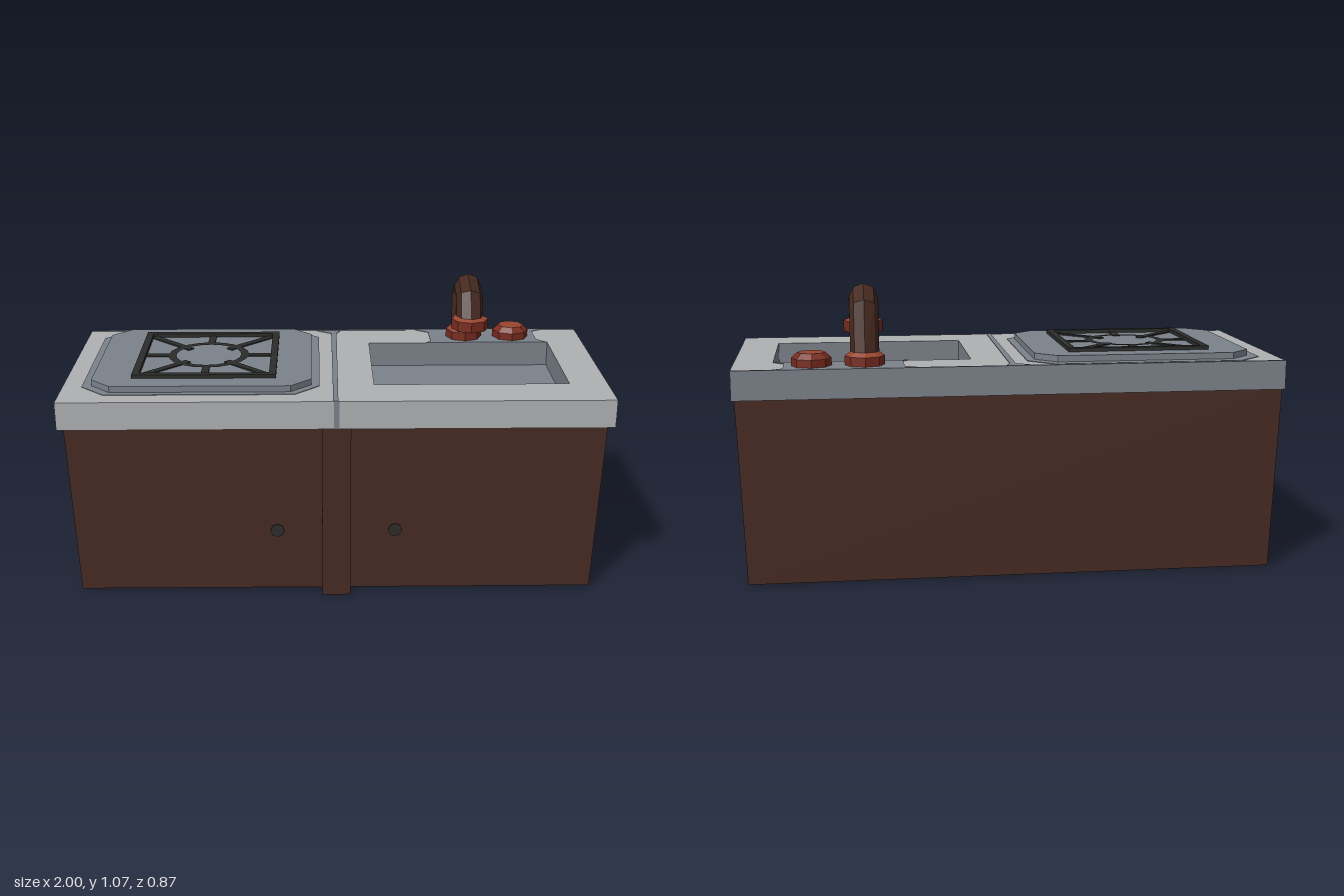
import * as THREE from 'three';

const mat = (name, color) => {
  const m = new THREE.MeshStandardMaterial({ color, flatShading: true });
  m.name = name;
  return m;
};

export function createModel() {
  const wood = mat('brown wood', 0x482b22);
  const stone = mat('light grey stone', 0xafb0b3);
  const slate = mat('slate grey', 0x7c828b);
  const iron = mat('black iron', 0x2c2d2b);
  const pipeBrown = mat('pipe brown', 0x45291f);
  const rust = mat('rust orange', 0x98452e);
  const darkRust = mat('dark rust', 0x782c1f);

  const model = new THREE.Group();
  model.name = 'kitchenCounter';
  const add = (name, geo, material, parent = model) => {
    const mesh = new THREE.Mesh(geo, material);
    mesh.name = name;
    parent.add(mesh);
    return mesh;
  };
  // Box given by its limits on each axis
  const box = (name, x0, x1, y0, y1, z0, z1, material, parent) => {
    const g = new THREE.BoxGeometry(x1 - x0, y1 - y0, z1 - z0);
    g.translate((x0 + x1) / 2, (y0 + y1) / 2, (z0 + z1) / 2);
    return add(name, g, material, parent);
  };
  // Plan outline (x, z) raised from y0 to y1, with an optional hole
  const slab = (name, outline, hole, y0, y1, material, parent) => {
    const pts = (l) => l.map(([x, z]) => new THREE.Vector2(x, -z));
    const shape = new THREE.Shape(pts(outline));
    if (hole) shape.holes.push(new THREE.Path(pts(hole)));
    const g = new THREE.ExtrudeGeometry(shape, { depth: y1 - y0, bevelEnabled: false });
    g.rotateX(-Math.PI / 2);
    g.translate(0, y0, 0);
    return add(name, g, material, parent);
  };
  const rect = (x0, x1, z0, z1) => [[x0, z1], [x1, z1], [x1, z0], [x0, z0]];
  const cutRect = (x0, x1, z0, z1, c) => [
    [x0 + c, z1], [x1 - c, z1], [x1, z1 - c], [x1, z0 + c],
    [x1 - c, z0], [x0 + c, z0], [x0, z0 + c], [x0, z1 - c],
  ];

  // Cabinet body, tapering towards the floor
  const body = new THREE.BoxGeometry(2, 0.68, 2);
  const p = body.attributes.position;
  for (let i = 0; i < p.count; i++) {
    const top = p.getY(i) > 0;
    const front = p.getZ(i) > 0;
    p.setX(i, Math.sign(p.getX(i)) * (top ? 0.99 : 0.965));
    p.setZ(i, front ? (top ? 0.36 : 0.35) : (top ? -0.43 : -0.415));
  }
  body.translate(0, 0.343, 0);
  add('cabinet', body, wood);

  // Centre post with a sloped front
  const post = new THREE.Shape([[0.3, 0], [0.405, 0], [0.425, 0.68], [0.3, 0.68]]
    .map(([z, y]) => new THREE.Vector2(z, y)));
  const postGeo = new THREE.ExtrudeGeometry(post, { depth: 0.105, bevelEnabled: false });
  postGeo.rotateY(-Math.PI / 2);
  postGeo.translate(0.0525, 0, 0);
  add('centrePost', postGeo, wood);

  // Door knobs
  for (const x of [-0.22, 0.22]) {
    const knob = add('doorKnob', new THREE.CylinderGeometry(0.026, 0.026, 0.008, 8), iron);
    knob.rotation.x = Math.PI / 2;
    knob.position.set(x, 0.245, 0.355);
  }

  // Worktop with sink opening; slate edges and stone front
  slab('worktop', rect(-1, 1, -0.435, 0.426), rect(0.14, 0.86, -0.25, 0.25), 0.68, 0.785, [stone, slate]);
  box('worktopFront', -1, 1, 0.68, 0.785, 0.426, 0.43, stone);
  box('endTopTrim', 0.998, 1.001, 0.76, 0.785, -0.4, 0.43, stone);
  box('endFrontTrim', 0.998, 1.001, 0.70, 0.785, 0.395, 0.43, stone);
  box('frontSeam', -0.01, 0.01, 0.685, 0.786, 0.428, 0.432, slate);
  box('sinkFloor', 0.14, 0.86, 0.684, 0.69, -0.25, 0.25, slate);
  for (const [x, z, r] of [[0.72, 0.1, 0.017], [0.78, 0.1, 0.023], [0.777, 0.17, 0.015]]) {
    add('drainHole', new THREE.CylinderGeometry(r, r, 0.004, 8), iron).position.set(x, 0.691, z);
  }

  // Worn slate patches on the worktop
  slab('stoveSurround', cutRect(-0.93, -0.06, -0.415, 0.355, 0.09), null, 0.784, 0.787, slate);
  slab('sinkBackPatch', [[0.37, -0.25], [0.86, -0.25], [0.82, -0.29], [0.82, -0.4],
    [0.86, -0.425], [0.34, -0.425], [0.39, -0.39], [0.39, -0.27]], null, 0.784, 0.787, slate);
  slab('topSeam', [[-0.012, 0.43], [0.006, 0.43], [0.012, -0.38], [0.03, -0.42],
    [-0.07, -0.42], [-0.01, -0.38]], null, 0.784, 0.787, slate);
  box('backEdgeStrip', -1, 1, 0.784, 0.787, -0.435, -0.424, slate);

  // Stove plate and iron grate
  const stove = new THREE.Group();
  stove.name = 'stove';
  model.add(stove);
  slab('stovePlate', cutRect(-0.895, -0.09, -0.37, 0.33, 0.075), null, 0.785, 0.81, slate, stove);
  slab('grateFrame', rect(-0.75, -0.22, -0.285, 0.245), rect(-0.724, -0.246, -0.259, 0.219), 0.81, 0.824, iron, stove);
  const grate = new THREE.Group();
  grate.name = 'grate';
  grate.position.set(-0.485, 0.812, -0.02);
  stove.add(grate);
  const ring = add('grateRing', new THREE.RingGeometry(0.125, 0.155, 20), iron, grate);
  ring.rotation.x = -Math.PI / 2;
  ring.position.y = 0.003;
  for (let i = 0; i < 8; i++) {
    const diagonal = i % 2 === 1;
    const inner = diagonal ? 0.105 : 0.14;
    const outer = diagonal ? 0.338 : 0.24;
    const arm = new THREE.Group();
    arm.name = 'grateArm';
    arm.rotation.y = i * Math.PI / 4;
    grate.add(arm);
    box('grateBar', inner, outer, -0.002, 0.003, -0.014, 0.014, iron, arm);
  }

  // Octagonal collar with a bevelled top
  const collar = (name, x, y, z, h, bevel, topMat, bevelMat) => {
    const g = new THREE.Group();
    g.name = name;
    g.position.set(x, y, z);
    model.add(g);
    const lathe = (part, pts, m) =>
      add(part, new THREE.LatheGeometry(pts.map(([r, v]) => new THREE.Vector2(r, v)), 8), m, g);
    lathe('collarSide', [[0, 0], [0.072, 0], [0.072, h - bevel]], darkRust);
    lathe('collarBevel', [[0.072, h - bevel], [0.05, h]], bevelMat);
    lathe('collarTop', [[0.05, h], [0, h]], topMat);
  };
  collar('tapBase', 0.53, 0.785, -0.338, 0.05, 0.015, rust, rust);
  collar('tapNozzle', 0.53, 0.882, -0.137, 0.05, 0.01, rust, rust);
  collar('tapButton', 0.72, 0.785, -0.338, 0.05, 0.02, rust, darkRust);

  // Bent tap pipe: outer (z, y) and inner (z, y) points of each octagonal section
  const sections = [
    [-0.39, 0.82, -0.285, 0.82], [-0.355, 1.02, -0.29, 0.945], [-0.255, 1.07, -0.255, 0.972],
    [-0.127, 1.035, -0.2, 0.962], [-0.082, 0.925, -0.192, 0.925],
  ];
  const verts = [];
  const index = [];
  sections.forEach(([oz, oy, iz, iy], s) => {
    for (let j = 0; j < 8; j++) {
      const a = j * Math.PI / 4;
      const c = Math.cos(a) / 2;
      verts.push(0.53 + 0.052 * Math.sin(a), (oy + iy) / 2 + (oy - iy) * c, (oz + iz) / 2 + (oz - iz) * c);
      if (s === sections.length - 1) continue;
      const k = (j + 1) % 8;
      const b = s * 8;
      index.push(b + j, b + 8 + j, b + k, b + k, b + 8 + j, b + 8 + k);
    }
  });
  const pipe = new THREE.BufferGeometry();
  pipe.setAttribute('position', new THREE.Float32BufferAttribute(verts, 3));
  pipe.setIndex(index);
  pipe.computeVertexNormals();
  add('tapPipe', pipe, pipeBrown);

  return model;
}
